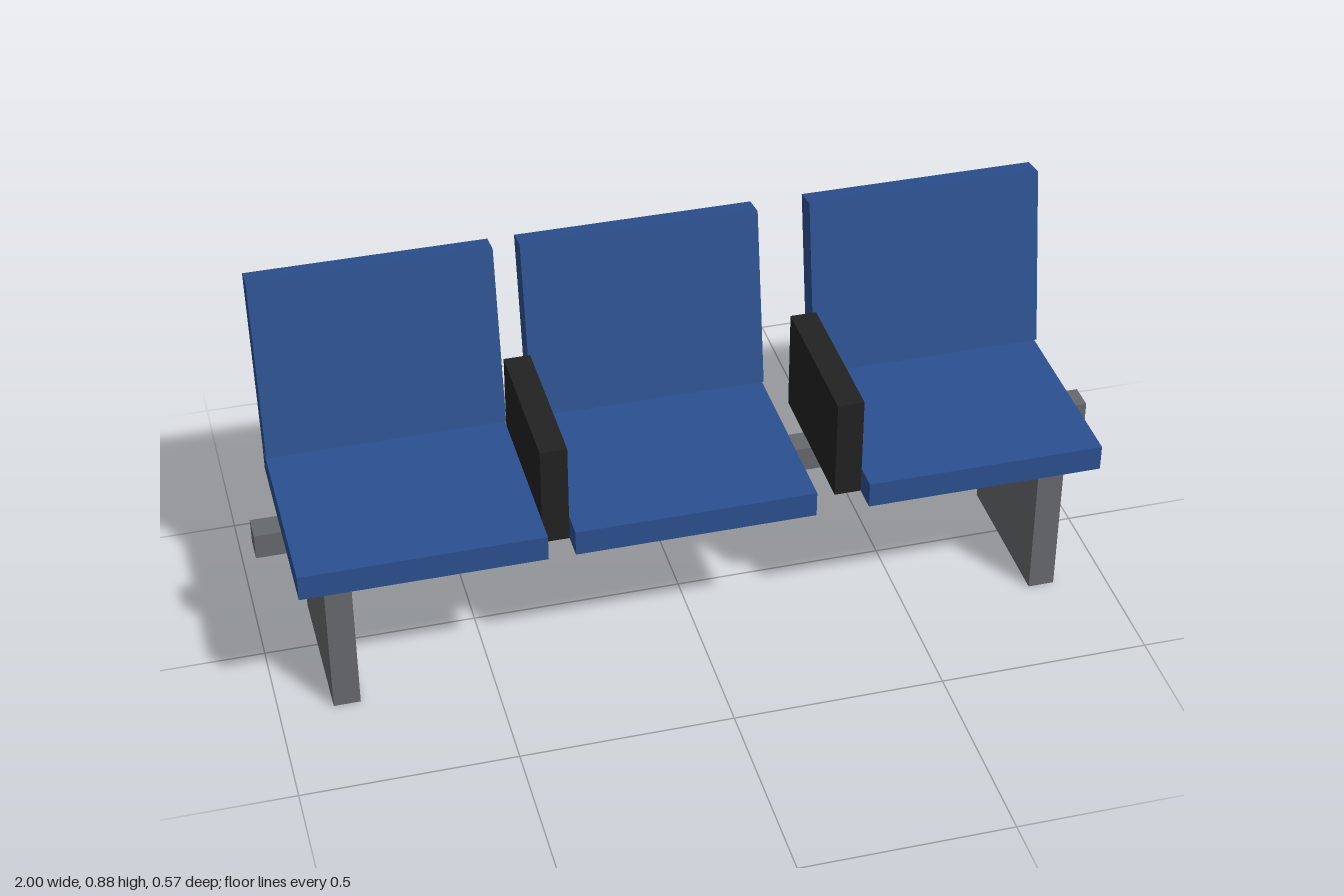
import * as THREE from 'three';

const material = (name, color) => {
  const m = new THREE.MeshStandardMaterial({ color });
  m.name = name;
  return m;
};

export function createModel() {
  const blue = material('blue upholstery', 0x2b5090);
  const black = material('black armrest', 0x222222);
  const grey = material('grey metal', 0x66696d);

  const bench = new THREE.Group();
  bench.name = 'bench';

  const box = (name, mat, size, position, parent = bench) => {
    const mesh = new THREE.Mesh(new THREE.BoxGeometry(...size), mat);
    mesh.name = name;
    mesh.position.set(...position);
    parent.add(mesh);
    return mesh;
  };

  // Support beam and the two slab legs
  box('beam', grey, [2, 0.0625, 0.0625], [0, 0.345, 0.0065]);
  for (const side of [-1, 1]) {
    box(side > 0 ? 'leftLeg' : 'rightLeg', grey, [0.0625, 0.37, 0.375], [side * 0.84375, 0.185, 0.0375]);
  }

  // Three seats, each a flat cushion with a reclined back
  for (const x of [-0.65625, -0.03125, 0.65625]) {
    const seat = new THREE.Group();
    seat.name = 'seat';
    seat.position.x = x;
    box('cushion', blue, [0.5625, 0.0625, 0.5], [0, 0.4075, 0.0375], seat);
    const back = box('backrest', blue, [0.5625, 0.4375, 0.0625], [0, 0.659, -0.2185], seat);
    back.rotation.x = THREE.MathUtils.degToRad(-10);
    bench.add(seat);
  }

  // Solid armrests between the seats
  for (const x of [-0.34375, 0.34375]) {
    box('armrest', black, [0.0625, 0.25, 0.375], [x, 0.501, 0.0375]);
  }

  return bench;
}
